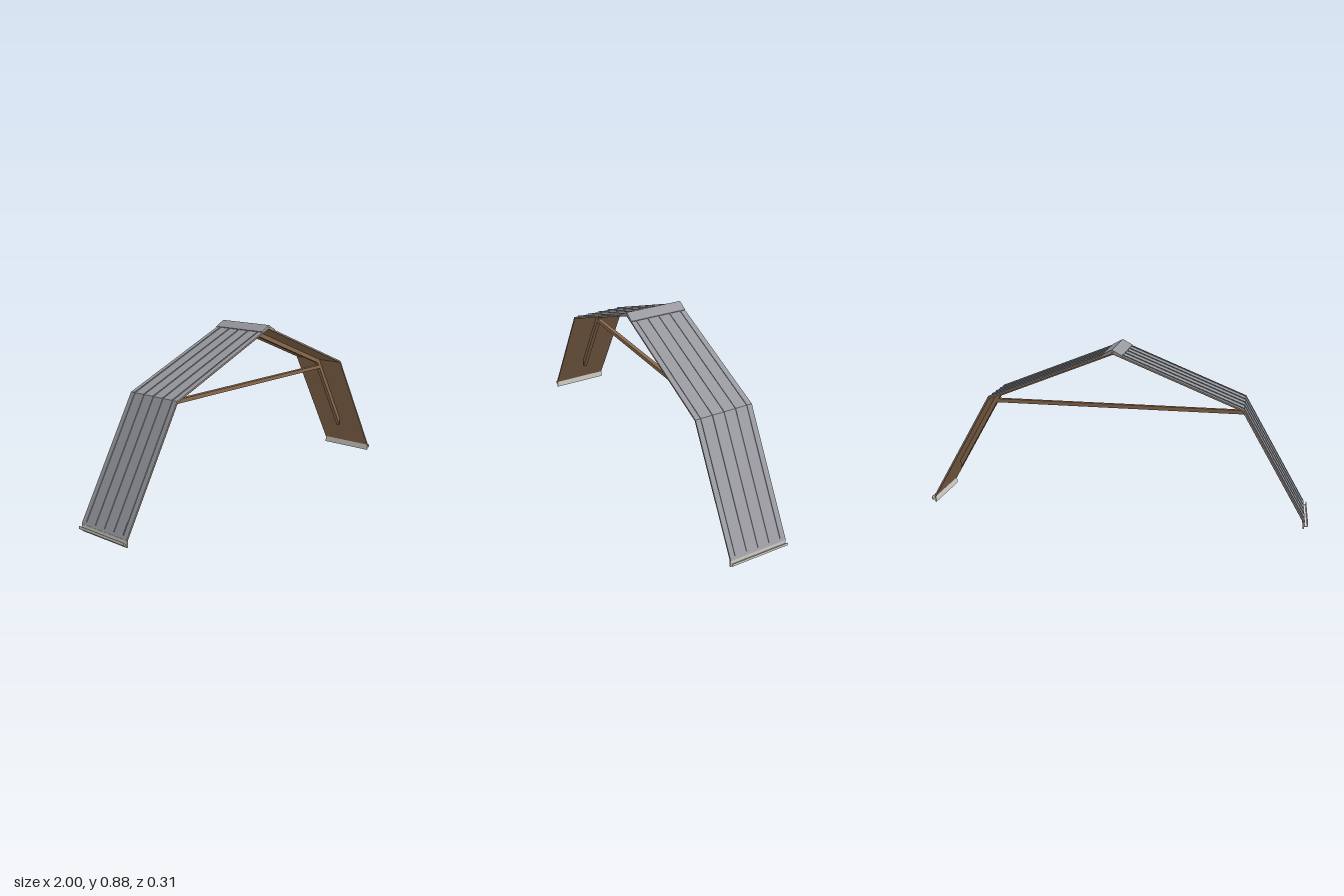
import * as THREE from 'three';

const HALF_DEPTH = 0.153;
// Roof line of one side: ridge, knee, eave
const RIDGE = [0, 0.864], KNEE = [0.657, 0.6], EAVE = [0.984, 0.036];

const material = (name, color) => {
  const m = new THREE.MeshStandardMaterial({ color });
  m.name = name;
  return m;
};

// Slope, and outward normal, of the line between two points
function line(a, b) {
  const m = (b[1] - a[1]) / (b[0] - a[0]);
  const k = Math.hypot(1, m);
  return { m, k, n: [-m / k, 1 / k] };
}
const upper = line(RIDGE, KNEE), lower = line(KNEE, EAVE);

// Roof line moved inward by d; the end is square, or plumb at cutX
function offsetLine(d, cutX) {
  const c1 = RIDGE[1] - d * upper.k;
  const c2 = KNEE[1] - lower.m * KNEE[0] - d * lower.k;
  const kx = (c2 - c1) / (upper.m - lower.m);
  const end = cutX === undefined
    ? [EAVE[0] - d * lower.n[0], EAVE[1] - d * lower.n[1]]
    : [cutX, c2 + lower.m * cutX];
  return [[0, c1], [kx, c1 + upper.m * kx], end];
}

// Full symmetric gambrel band lying between two depths
function gambrelBand(d0, d1, cutX) {
  const mirror = pts => pts.slice(1).reverse().map(([x, y]) => [-x, y]);
  const outer = offsetLine(d0, cutX), inner = offsetLine(d1, cutX);
  return [...mirror(outer), ...outer, ...[...mirror(inner), ...inner].reverse()];
}

// Extrude an outline along z, centred on z
function extrude(name, pts, width, mat, z = 0) {
  const shape = new THREE.Shape(pts.map(p => new THREE.Vector2(...p)));
  const geo = new THREE.ExtrudeGeometry(shape, { depth: width, bevelEnabled: false });
  geo.translate(0, 0, z - width / 2);
  const mesh = new THREE.Mesh(geo, mat);
  mesh.name = name;
  return mesh;
}

export function createModel() {
  const group = new THREE.Group();
  group.name = 'gambrelRoofSection';
  const metal = material('greyMetal', 0x96979d);
  const wood = material('brownWood', 0x8b6b4e);
  const trim = material('paleTrim', 0xd6d4ca);
  const full = HALF_DEPTH * 2;

  // Metal roofing over wooden sheathing
  group.add(extrude('metalRoofing', gambrelBand(0, 0.004), full, metal));
  group.add(extrude('sheathing', gambrelBand(0.004, 0.009), full, wood));

  // Standing seams
  for (let i = -2; i <= 2; i++) {
    group.add(extrude('roofSeam', gambrelBand(-0.004, 0.001, 0.978), 0.004, metal, i * 0.0625));
  }

  // Folded ridge cap
  group.add(extrude('ridgeCap', [
    [-0.052, 0.847], [0, 0.875], [0.052, 0.847], [0.05, 0.839], [0, 0.866], [-0.05, 0.839],
  ], full, metal));

  // Rafters with plumb-cut tails, and the tie across the knees
  group.add(extrude('rafters', gambrelBand(0.009, 0.031, 0.88), 0.022, wood));
  group.add(extrude('tieBeam', [
    [-0.662, 0.54], [0.662, 0.54], [0.652, 0.56], [-0.652, 0.56],
  ], 0.022, wood));

  // Fascia and gutter along each eave
  for (const s of [-1, 1]) {
    const side = pts => pts.map(([x, y]) => [s * x, y]);
    group.add(extrude('fascia', side([
      [0.975, 0], [0.982, 0], [0.982, 0.034], [0.975, 0.034],
    ]), full, trim));
    group.add(extrude('gutter', side([
      [0.982, 0.012], [0.996, 0.012], [1, 0.016], [1, 0.029], [0.997, 0.029],
      [0.997, 0.017], [0.995, 0.015], [0.982, 0.015],
    ]), full, trim));
  }
  return group;
}
